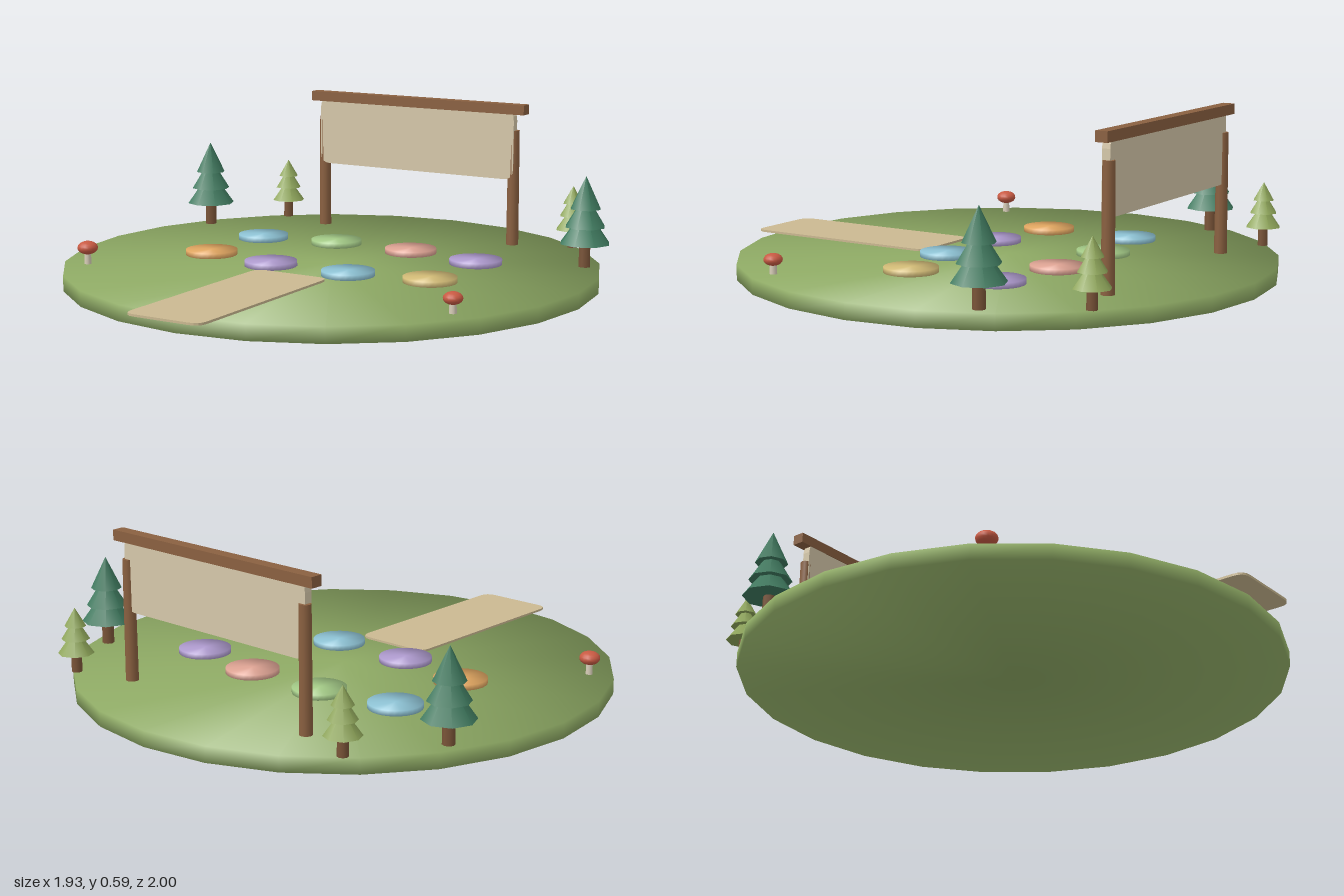
import * as THREE from 'three';

const GROUND = 0.055;
const mat = (color) => new THREE.MeshStandardMaterial({ color });
const M = {
  grass: mat(0x8fab65), wood: mat(0x8a6040), trunk: mat(0x7a5438), board: mat(0xd6c8aa),
  path: mat(0xcbb991), pine: mat(0x3f7a5f), fir: mat(0x8fa65a), stem: mat(0xd8cdb8), cap: mat(0xc85a43),
  blue: mat(0x8fc4d6), green: mat(0xa5cc88), pink: mat(0xe0a595), purple: mat(0xb09cd0),
  orange: mat(0xe3a862), yellow: mat(0xd4bd78),
};

function add(parent, name, geometry, material, x = 0, y = 0, z = 0) {
  const mesh = new THREE.Mesh(geometry, material);
  mesh.name = name;
  mesh.position.set(x, y, z);
  parent.add(mesh);
  return mesh;
}

// Disc whose rim normals blend cap and side, giving a soft, pillowy shading
function softDisc(radius, height, sides) {
  const g = new THREE.CylinderGeometry(radius, radius, height, sides);
  const p = g.attributes.position;
  const v = new THREE.Vector3();
  for (let i = 0; i < p.count; i++) {
    v.fromBufferAttribute(p, i);
    if (Math.hypot(v.x, v.z) < radius * 0.5) continue;
    v.set(v.x / radius * 0.83, Math.sign(v.y) * 0.55, v.z / radius * 0.83).normalize();
    g.attributes.normal.setXYZ(i, v.x, v.y, v.z);
  }
  return g;
}

// Flat slab with rounded corners, centred in x and y, extruded along +z
function roundedSlab(w, h, depth, r) {
  const s = new THREE.Shape();
  const a = w / 2, b = h / 2;
  s.moveTo(-a + r, -b);
  s.lineTo(a - r, -b);
  s.quadraticCurveTo(a, -b, a, -b + r);
  s.lineTo(a, b - r);
  s.quadraticCurveTo(a, b, a - r, b);
  s.lineTo(-a + r, b);
  s.quadraticCurveTo(-a, b, -a, b - r);
  s.lineTo(-a, -b + r);
  s.quadraticCurveTo(-a, -b, -a + r, -b);
  return new THREE.ExtrudeGeometry(s, { depth, bevelEnabled: false, curveSegments: 4 });
}

// Tree of stacked cones; each tier is [radius, base height, cone height]
function makeTree(name, x, z, trunkRadius, tiers, leaf) {
  const tree = new THREE.Group();
  tree.name = name;
  tree.position.set(x, 0, z);
  const trunkTop = tiers[0][1] + 0.02;
  add(tree, 'trunk', new THREE.CylinderGeometry(trunkRadius * 0.95, trunkRadius, trunkTop - GROUND, 8),
    M.trunk, 0, (trunkTop + GROUND) / 2, 0);
  for (const [r, base, h] of tiers)
    add(tree, 'foliageTier', new THREE.ConeGeometry(r, h, 8), leaf, 0, base + h / 2, 0);
  return tree;
}

function makeMushroom(name, x, z, radius, capY) {
  const m = new THREE.Group();
  m.name = name;
  m.position.set(x, 0, z);
  add(m, 'stem', new THREE.CylinderGeometry(0.011, 0.013, capY - GROUND, 10), M.stem, 0, (capY + GROUND) / 2, 0);
  add(m, 'cap', new THREE.SphereGeometry(radius, 16, 10), M.cap, 0, capY, 0).scale.y = 0.65;
  return m;
}

export function createModel() {
  const model = new THREE.Group();
  model.name = 'meetingGlade';

  // Ground and path
  add(model, 'ground', softDisc(0.963, GROUND, 24), M.grass, 0, GROUND / 2, -0.035);
  add(model, 'path', roundedSlab(0.294, 0.77, 0.008, 0.04), M.path, 0, GROUND, 0.615).rotation.x = -Math.PI / 2;

  // Two rows of round seat pads
  const pads = [
    [-0.455, -0.283, 'blue'], [-0.16, -0.336, 'green'], [0.16, -0.336, 'pink'], [0.455, -0.283, 'purple'],
    [-0.455, 0.066, 'orange'], [-0.16, 0.12, 'purple'], [0.16, 0.12, 'blue'], [0.455, 0.066, 'yellow'],
  ];
  for (const [x, z, color] of pads)
    add(model, 'seatPad', softDisc(0.095, 0.019, 28), M[color], x, GROUND + 0.0095, z);

  // Board hung between two posts under a beam
  const sign = new THREE.Group();
  sign.name = 'signBoard';
  model.add(sign);
  for (const side of [-1, 1])
    add(sign, 'post', new THREE.CylinderGeometry(0.021, 0.023, 0.435, 12), M.wood, side * 0.413, GROUND + 0.2175, -0.674);
  add(sign, 'beam', new THREE.BoxGeometry(0.924, 0.037, 0.045), M.wood, 0, 0.57, -0.673);
  add(sign, 'board', roundedSlab(0.842, 0.262, 0.03, 0.04), M.board, 0, 0.436, -0.683);

  // Trees and mushrooms on both sides
  const pineTiers = [[0.092, 0.14, 0.13], [0.074, 0.2, 0.12], [0.056, 0.265, 0.117]];
  const firTiers = [[0.064, 0.123, 0.09], [0.05, 0.175, 0.08], [0.038, 0.222, 0.066]];
  for (const side of [-1, 1]) {
    model.add(makeTree('largeTree', side * 0.808, -0.44, 0.022, pineTiers, M.pine));
    model.add(makeTree('smallTree', side * 0.63, -0.74, 0.019, firTiers, M.fir));
  }
  model.add(makeMushroom('rightMushroom', -0.737, 0.437, 0.037, 0.114));
  model.add(makeMushroom('leftMushroom', 0.735, 0.437, 0.033, 0.105));

  return model;
}
